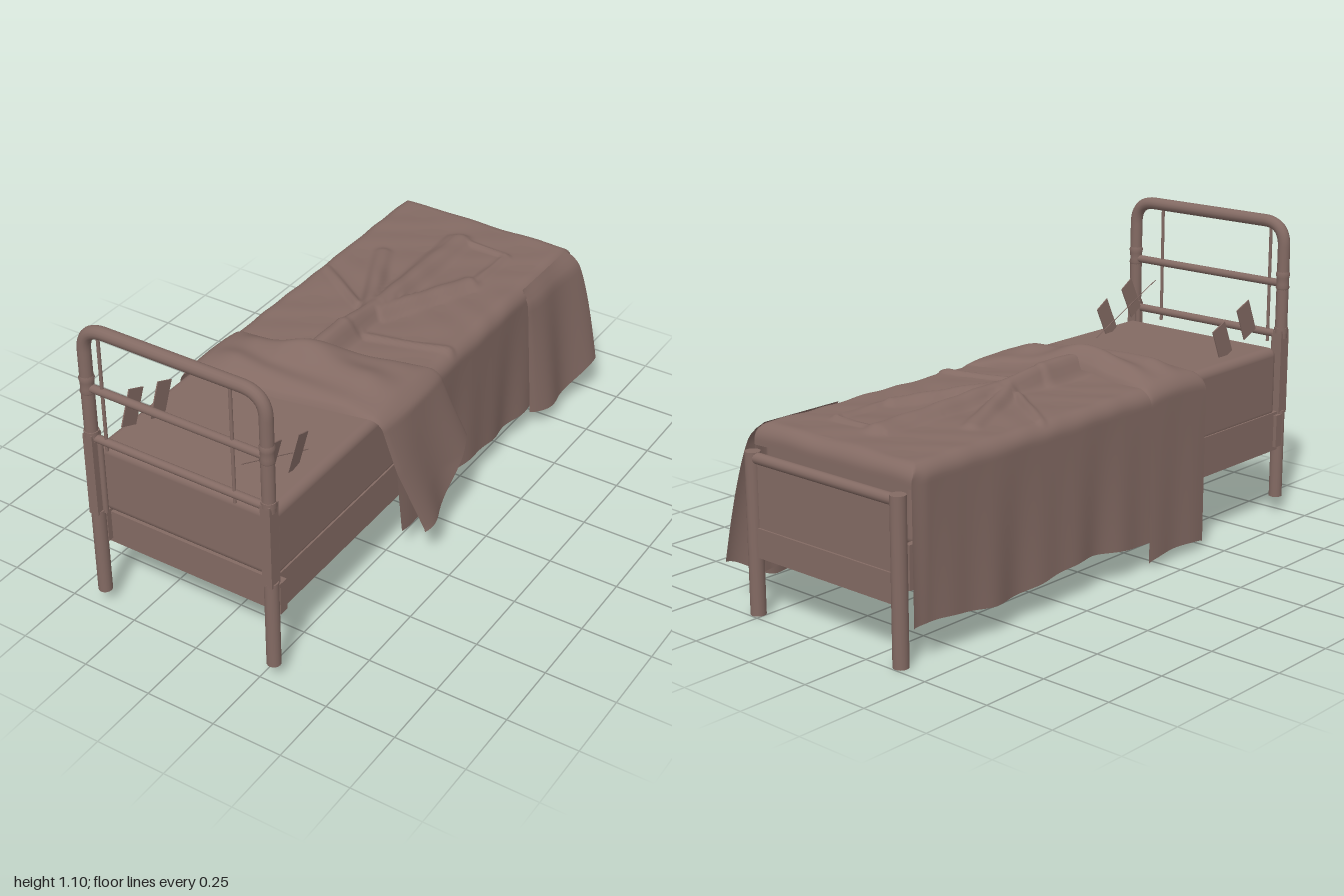
import * as THREE from 'three';
import { RoundedBoxGeometry } from 'three/addons/geometries/RoundedBoxGeometry.js';

const CX = -0.052; // centre line of the bed
const { clamp, lerp, smoothstep } = THREE.MathUtils;

// Linear lookup through [position, value] pairs
function track(pts, t) {
  if (t <= pts[0][0]) return pts[0][1];
  for (let i = 1; i < pts.length; i++) {
    const [a, va] = pts[i - 1], [b, vb] = pts[i];
    if (t <= b) return lerp(va, vb, (t - a) / (b - a));
  }
  return pts[pts.length - 1][1];
}

// Grid of points moved to fn(u, v) => [x, y, z]
function sheet(nu, nv, fn) {
  const g = new THREE.PlaneGeometry(1, 1, nu, nv), p = g.attributes.position;
  for (let i = 0; i < p.count; i++) p.setXYZ(i, ...fn(p.getX(i) + 0.5, p.getY(i) + 0.5));
  g.computeVertexNormals();
  return g;
}

// Cloth section: w is the distance along the cloth from the centre line
function drape(w, half, r = 0.05) {
  const a = Math.abs(w), s = Math.sign(w), flat = half - r, arc = (r * Math.PI) / 2;
  if (a < flat) return { x: w, down: 0, hang: 0, s };
  if (a < flat + arc) {
    const t = (a - flat) / r;
    return { x: s * (flat + r * Math.sin(t)), down: r * (1 - Math.cos(t)), hang: 0, s };
  }
  const hang = a - flat - arc;
  return { x: s * half, down: r + hang, hang, s };
}

// Raised branching ridges under the blanket: x1, z1, x2, z2, width, height 1, height 2
const ridges = [
  [-0.07, 0.2, -0.07, 0.02, 0.046, 0.07, 0.07], [-0.07, 0.02, -0.06, -0.2, 0.036, 0.065, 0.04],
  [-0.06, -0.2, -0.06, -0.74, 0.04, 0.042, 0.022], [-0.08, -0.16, -0.25, -0.52, 0.03, 0.035, 0.014],
  [-0.13, -0.17, -0.37, -0.33, 0.016, 0.016, 0.008], [-0.04, -0.16, 0.12, -0.5, 0.034, 0.038, 0.022],
  [0.13, -0.5, 0.14, -0.74, 0.012, 0.014, 0.012], [-0.1, -0.75, 0.14, -0.74, 0.012, 0.012, 0.012],
  [0, -0.02, 0.28, -0.1, 0.016, 0.012, 0.01], [-0.1, -0.5, -0.1, -0.75, 0.012, 0.01, 0.012],
];
function relief(x, z) {
  let h = 0;
  for (const [x1, z1, x2, z2, w, h1, h2] of ridges) {
    const dx = x2 - x1, dz = z2 - z1;
    const t = clamp(((x - x1) * dx + (z - z1) * dz) / (dx * dx + dz * dz), 0, 1);
    const d = Math.hypot(x - x1 - t * dx, z - z1 - t * dz);
    h = Math.max(h, lerp(h1, h2, t) * Math.exp(-(Math.pow(d / w, 3))));
  }
  return h + 0.003 * Math.sin(x * 21 + 2 * Math.sin(z * 9)) * Math.sin(z * 26 + x * 5);
}

export function createModel() {
  const group = new THREE.Group();
  const mat = new THREE.MeshStandardMaterial({ color: 0x836a63, side: THREE.DoubleSide });
  mat.name = 'dustyBrown';
  const add = (name, geo, x = 0, y = 0, z = 0) => {
    const m = new THREE.Mesh(geo, mat);
    m.name = name;
    m.position.set(x, y, z);
    group.add(m);
    return m;
  };
  const box = (name, x0, x1, y0, y1, z0, z1) =>
    add(name, new THREE.BoxGeometry(x1 - x0, y1 - y0, z1 - z0), (x0 + x1) / 2, (y0 + y1) / 2, (z0 + z1) / 2);
  const post = (name, x, z, y0, y1, r, n = 16) =>
    add(name, new THREE.CylinderGeometry(r, r, y1 - y0, n), x, (y0 + y1) / 2, z);
  const bar = (name, x0, x1, y, z, r) => {
    add(name, new THREE.CylinderGeometry(r, r, x1 - x0, 16), (x0 + x1) / 2, y, z).rotation.z = Math.PI / 2;
  };

  // Headboard: bent tube arch, legs, collars and rails
  const L = -0.383, R = 0.289, T = 1.081, B = 0.085, HZ = 0.975;
  const V = (x, y, z = HZ) => new THREE.Vector3(x, y, z);
  const arch = new THREE.CurvePath();
  arch.add(new THREE.LineCurve3(V(L, 0.66), V(L, T - B)));
  arch.add(new THREE.QuadraticBezierCurve3(V(L, T - B), V(L, T), V(L + B, T)));
  arch.add(new THREE.LineCurve3(V(L + B, T), V(R - B, T)));
  arch.add(new THREE.QuadraticBezierCurve3(V(R - B, T), V(R, T), V(R, T - B)));
  arch.add(new THREE.LineCurve3(V(R, T - B), V(R, 0.66)));
  add('headArch', new THREE.TubeGeometry(arch, 120, 0.022, 14));
  const collar = new THREE.LatheGeometry(
    [[0.02, -0.036], [0.025, -0.026], [0.022, -0.012], [0.023, 0.01], [0.026, 0.024], [0.02, 0.036]]
      .map(([r, y]) => new THREE.Vector2(r, y)), 16);
  for (const [x, s] of [[L, 1], [R, -1]]) {
    post('headLeg', x, HZ, 0.06, 0.39, 0.024);
    box('headPost', x - 0.018, x + 0.018, 0.38, 0.69, 0.952, 0.998);
    post('headInnerPost', x + s * 0.022, 0.965, 0.38, 0.67, 0.01);
    add('collar', collar, x, 0.873, HZ);
    post('lowerCollar', x, HZ, 0.68, 0.7, 0.025);
    box('railBracket', x - 0.025, x + 0.025, 0.26, 0.38, 0.93, 0.965);
  }
  bar('headRail', L, R, 0.861, HZ, 0.014);
  bar('headRail', L, R, 0.673, HZ, 0.014);
  for (const x of [-0.325, 0.163]) post('spindle', x, HZ, 0.64, 1.07, 0.006, 10);

  // Footboard
  const FZ = -0.971;
  for (const x of [-0.372, 0.275]) post('footPost', x, FZ, 0, 0.55, 0.026);
  bar('footTopBar', -0.372, 0.275, 0.53, FZ, 0.019);
  box('footPanel', -0.36, 0.262, 0.2, 0.52, -0.975, -0.96);
  box('footLowerRail', -0.36, 0.262, 0.2, 0.3, -0.982, -0.955);

  // Bed frame: side rails with inner flanges, cross members
  for (const [x, s] of [[-0.395, 1], [0.291, -1]]) {
    const [a, b] = [x, x + s * 0.022].sort((p, q) => p - q);
    box('sideRail', a, b, 0.245, 0.39, -0.95, 0.96);
    box('railFlange', x + s * 0.045 - 0.025, x + s * 0.045 + 0.025, 0.255, 0.27, -0.95, 0.94);
  }
  box('headEndRail', L, R, 0.245, 0.368, 0.925, 0.945);
  box('crossBar', L, R, 0.26, 0.3, 0.04, 0.075);

  // Mattress
  add('mattress', new RoundedBoxGeometry(0.676, 0.262, 1.87, 5, 0.03), CX, 0.499, 0.015);

  // Blanket lying over the bed, hanging down both sides and tucked in at the foot
  add('blanket', sheet(150, 130, (u, v) => {
    const w = lerp(-0.86, 0.87, u), d = drape(w, 0.36);
    const k = d.hang / 0.48;
    const e = drape(lerp(-0.99, 0.3 - (d.s > 0 ? 0.06 * k : 0), v), 0.942);
    const z = e.x;
    const end = smoothstep(-z, 0.88, 0.942) * smoothstep(d.down, 0, 0.05);
    const ripple = k * (0.007 * Math.sin(z * 17) + 0.005 * Math.sin(z * 31 + 1));
    const hem = 1 + 0.03 * Math.sin(z * 9) - (d.s > 0 ? 0.02 : 0);
    const top = 0.632 + relief(CX + d.x, z) * (d.hang ? 0.3 : 1);
    const down = d.down * (d.hang ? lerp(1, hem, k) : 1);
    return [CX + d.x + d.s * (ripple - 0.012 * end), top - Math.max(down, e.down), z];
  }));

  // Turned-back band, straight on one side and slanting into a loose flap on the other
  const front = [[-0.4, 0.478], [0, 0.445], [0.31, 0.385], [0.55, 0.34], [0.82, 0.25]];
  const back = [[-0.4, 0.175], [-0.1, 0.18], [0.15, 0.09], [0.33, 0.02], [0.5, -0.035], [0.7, -0.11]];
  add('turnedBackBand', sheet(130, 40, (u, v) => {
    const wMax = lerp(0.83, 0.65, smoothstep(v, 0.35, 1));
    const w = lerp(-0.95, wMax, u), d = drape(w, 0.364);
    const k = d.hang / 0.45;
    const z = lerp(track(front, w), track(back, w), v);
    const x = CX + d.x;
    const hump = Math.pow(Math.max(0, Math.sin(Math.PI * v)), 0.5);
    const side = 1 - smoothstep(Math.abs(d.x), 0.2, 0.36);
    const crest = 0.058 * Math.exp(-(((v - 0.82) / 0.22) ** 2) - (((x + 0.07) / 0.12) ** 2));
    const fold = 0.008 * Math.sin(v * 13 + x * 9) * hump;
    const top = 0.63 + hump * (0.016 + 0.034 * side) + crest + fold * side;
    const flare = d.s > 0
      ? 0.016 * hump + k * (0.075 + 0.022 * Math.sin(v * 8 + 1))
      : 0.003 + k * 0.003 * Math.sin(v * 9);
    return [x + d.s * flare * smoothstep(d.down, 0, 0.05), top - d.down, z];
  }));

  // Loose blanket corner at the foot end
  add('blanketCorner', sheet(40, 24, (u, v) => {
    const k = 1 - v;
    const z = lerp(lerp(-0.58, -0.64, k), lerp(-0.9, -0.99, Math.sqrt(k)), u);
    const hem = lerp(0.075, 0.15, smoothstep(u, 0.5, 1));
    const out = 0.014 + Math.pow(k, 0.6) * (0.075 * Math.sqrt(u) + 0.016 * Math.sin(u * 8.5) + 0.004);
    return [0.3 + out - 0.02 * (1 - smoothstep(k, 0, 0.12)), lerp(0.625, hem, k), z];
  }));

  // Small tilted plates and a thin cord beside the pillow end
  for (const [x, yaw] of [[-0.315, 0], [0.213, 0.15]]) {
    for (const [y, z] of [[0.738, 0.852], [0.685, 0.71]]) {
      const plate = add('smallPlate', new THREE.BoxGeometry(0.004, 0.125, 0.075), x, y, z);
      plate.rotation.set(-0.4, yaw, yaw * -0.4);
    }
  }
  const cord = new THREE.LineCurve3(V(0.19, 0.79, 0.97), V(0.19, 0.63, 0.62));
  add('cord', new THREE.TubeGeometry(cord, 1, 0.0015, 5));

  return group;
}
